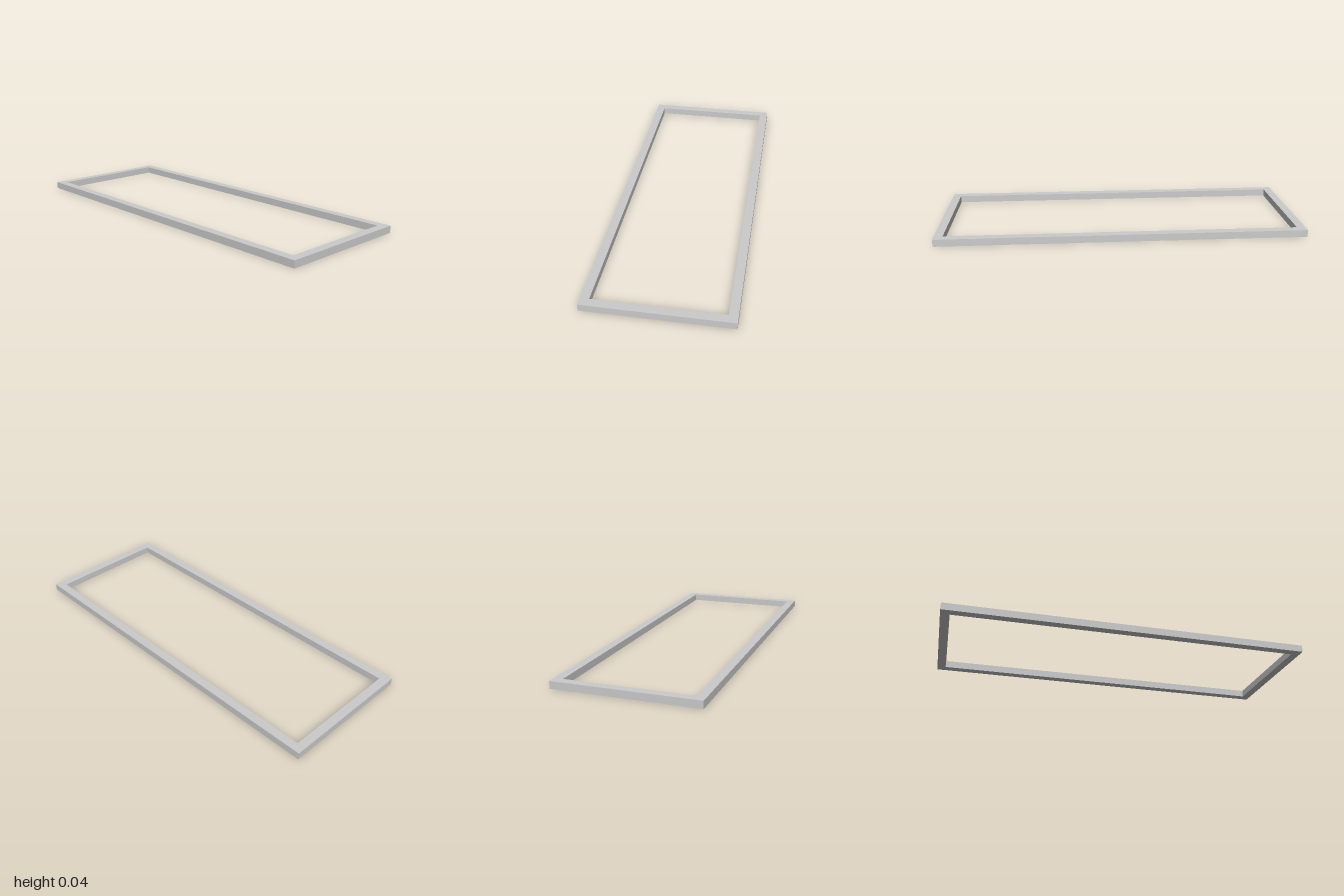
import * as THREE from 'three';

const HALF_X = 1, HALF_Z = 0.381, RAIL = 0.047, HEIGHT = 0.039;

// Corners of a centred rectangle
const rectangle = (x, y) => [[-x, -y], [x, -y], [x, y], [-x, y]].map(([a, b]) => new THREE.Vector2(a, b));

export function createModel() {
  const group = new THREE.Group();
  group.name = 'rectangularFrame';

  // Flat rectangular frame with a rectangular opening
  const outline = new THREE.Shape(rectangle(HALF_X, HALF_Z));
  outline.holes.push(new THREE.Path(rectangle(HALF_X - RAIL, HALF_Z - RAIL).reverse()));
  const geometry = new THREE.ExtrudeGeometry(outline, { depth: HEIGHT, bevelEnabled: false });
  geometry.rotateX(-Math.PI / 2); // lay flat, extruded upwards from y = 0

  const frame = new THREE.Mesh(geometry, new THREE.MeshStandardMaterial({ color: 0xcccccc }));
  frame.name = 'frame';
  group.add(frame);
  return group;
}
